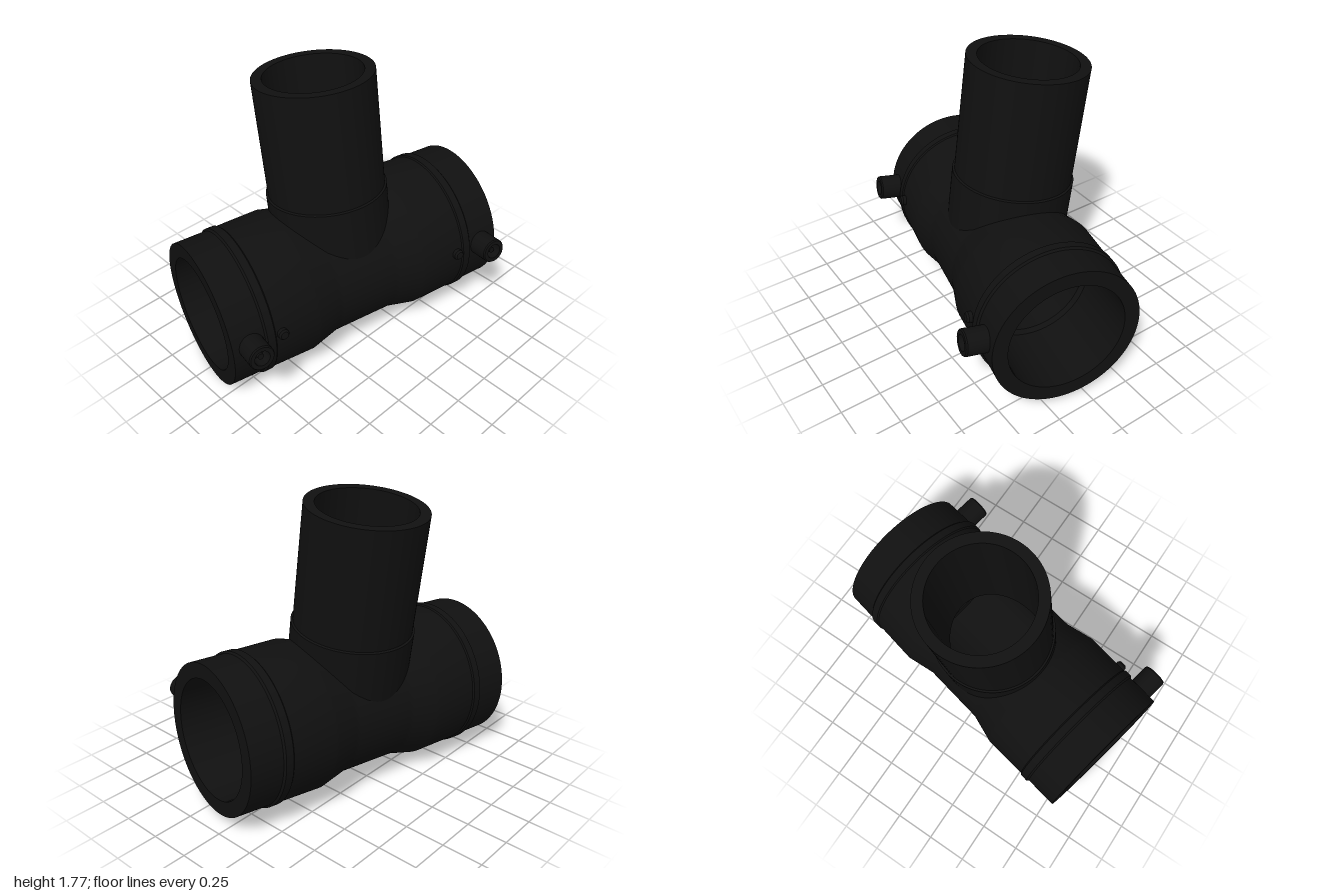
import * as THREE from 'three';
import { toCreasedNormals } from 'three/addons/utils/BufferGeometryUtils.js';

const BORE = 0.33, BRANCH_BORE = 0.29;

const lathe = (pts, segments) =>
  new THREE.LatheGeometry(pts.map(([r, y]) => new THREE.Vector2(r, y)), segments);

// Mirrors a half profile [radius, distance from the middle] about the middle
const mirrored = (half) => [...half.map(([r, d]) => [r, -d]).reverse(), ...half];

// Adds extra points to a profile so that the branch opening gets a fine edge
function refine(pts, step) {
  const out = [pts[0]];
  for (let i = 1; i < pts.length; i++) {
    const [r0, y0] = pts[i - 1], [r1, y1] = pts[i];
    const near = Math.min(Math.abs(y0), Math.abs(y1)) < 0.36;
    const n = near ? Math.max(1, Math.ceil(Math.abs(y1 - y0) / step)) : 1;
    for (let k = 1; k <= n; k++) out.push([r0 + (r1 - r0) * k / n, y0 + (y1 - y0) * k / n]);
  }
  return out;
}

// Removes the triangles lying inside the branch
function cutOpening(geometry) {
  const p = geometry.toNonIndexed().getAttribute('position').array;
  const kept = [];
  for (let i = 0; i < p.length; i += 9) {
    const x = (p[i] + p[i + 3] + p[i + 6]) / 3;
    const y = (p[i + 1] + p[i + 4] + p[i + 7]) / 3;
    const z = (p[i + 2] + p[i + 5] + p[i + 8]) / 3;
    const limit = Math.hypot(y, z) < 0.37 ? BRANCH_BORE : 0.32;
    if (y > 0 && Math.hypot(x, z) < limit) continue;
    for (let k = 0; k < 9; k++) kept.push(p[i + k]);
  }
  const out = new THREE.BufferGeometry();
  out.setAttribute('position', new THREE.Float32BufferAttribute(kept, 3));
  return out;
}

export function createModel() {
  const black = new THREE.MeshStandardMaterial({ color: 0x101010 });
  black.name = 'black plastic';
  const model = new THREE.Group();
  model.name = 'pipeTee';
  const tee = new THREE.Group();
  tee.name = 'tiltedTee';
  model.add(tee);

  const add = (name, geometry, x = 0) => {
    const mesh = new THREE.Mesh(toCreasedNormals(geometry, 0.5), black);
    mesh.name = name;
    mesh.position.x = x;
    tee.add(mesh);
  };

  // Main pipe: narrow waist, thicker sockets, raised seam bands, stepped bore
  const outer = mirrored([
    [0.415, 0.2], [0.458, 0.38], [0.453, 0.66], [0.461, 0.668],
    [0.461, 0.715], [0.449, 0.725], [0.447, 0.925],
  ]);
  const inner = mirrored([[BORE, 0.45], [0.355, 0.47], [0.355, 0.925]]).reverse();
  const body = lathe(refine([...outer, ...inner, outer[0]], 0.015), 128);
  body.rotateZ(-Math.PI / 2);
  add('mainPipe', cutOpening(body));

  // Branch pipe with collar, its lower rims shaped to the main pipe
  const branch = lathe([
    [0.365, 0], [0.365, 0.528], [0.353, 0.534], [0.353, 1.252],
    [BRANCH_BORE, 1.252], [BRANCH_BORE, 0],
  ], 96);
  const pos = branch.getAttribute('position');
  for (let i = 0; i < pos.count; i++) {
    if (pos.getY(i) !== 0) continue;
    const x = pos.getX(i), z = pos.getZ(i);
    const r = Math.hypot(x, z) > 0.33 ? 0.38 : BORE;
    pos.setY(i, Math.sqrt(r * r - z * z));
  }
  add('branchPipe', branch);

  // Terminal sockets with a centre pin, and small indicator nubs
  for (const [side, s] of [['left', 1], ['right', -1]]) {
    const terminal = lathe([
      [0.077, 0.4], [0.077, 0.572], [0.071, 0.58], [0.047, 0.58],
      [0.047, 0.5], [0.018, 0.5], [0.018, 0.56], [0, 0.56],
    ], 32);
    add(side + 'Terminal', terminal.rotateX(Math.PI / 2), s * 0.81);
    const nub = lathe([[0.033, 0.42], [0.033, 0.475], [0.024, 0.487], [0, 0.49]], 20);
    add(side + 'Indicator', nub.rotateX(Math.PI / 2), s * 0.62);
  }

  // Resting tilt of the whole fitting
  const along = new THREE.Vector3(0.976, 0.029, 0.216).normalize();
  const front = along.clone().cross(new THREE.Vector3(0, 0.991, -0.133)).normalize();
  const up = front.clone().cross(along);
  tee.quaternion.setFromRotationMatrix(new THREE.Matrix4().makeBasis(along, up, front));
  tee.position.set(0, 0.484, -0.055);
  return model;
}
